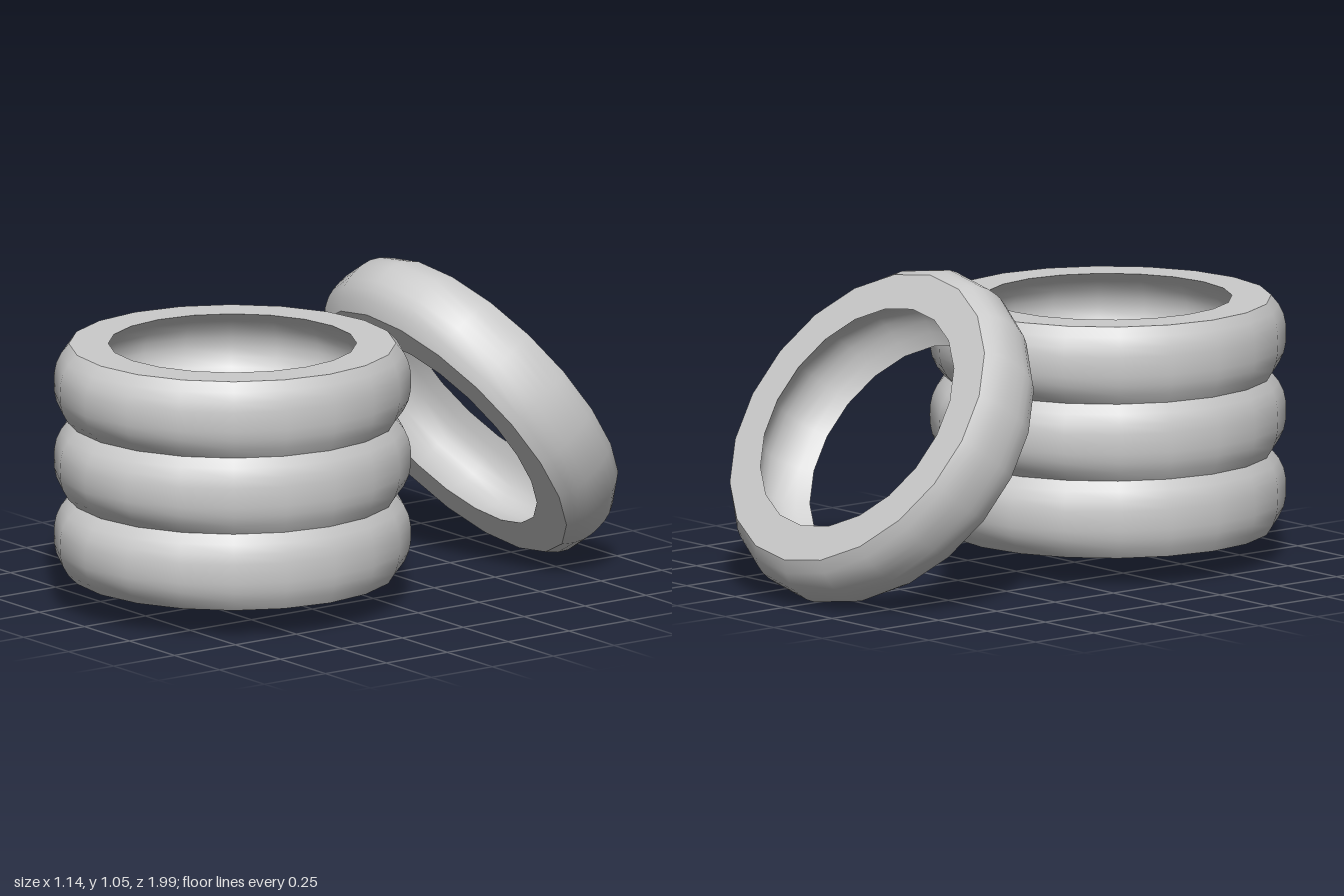
import * as THREE from 'three';
import { toCreasedNormals } from 'three/addons/utils/BufferGeometryUtils.js';

const RIM = 0.54;      // outer radius of the flat sidewall
const HOLE = 0.41;     // radius of the central opening
const HALF = 0.13;     // half the tyre's width
const STEPS = 8;

function tyreGeometry() {
  const profile = [];
  // tread, bottom to top
  for (let i = 0; i <= STEPS; i++) {
    const t = (i / STEPS) * 2 - 1;
    profile.push(new THREE.Vector2(RIM + 0.065 * (1 - Math.abs(t) ** 2.6), t * HALF));
  }
  // hollow inside, top to bottom
  for (let i = 0; i <= STEPS; i++) {
    const t = 1 - (i / STEPS) * 2;
    profile.push(new THREE.Vector2(HOLE + 0.08 * (1 - t * t), t * HALF));
  }
  profile.push(profile[0].clone());
  const geo = new THREE.LatheGeometry(profile, 20);

  // the tread bulges less towards the sides than towards front and back
  const pos = geo.attributes.position;
  for (let i = 0; i < pos.count; i++) {
    const x = pos.getX(i), z = pos.getZ(i), r = Math.hypot(x, z);
    if (r <= RIM) continue;
    const bulge = 0.5 + 0.5 * Math.abs(z / r) ** 3;
    const k = (RIM + (r - RIM) * bulge) / r;
    pos.setX(i, x * k);
    pos.setZ(i, z * k);
  }
  return toCreasedNormals(geo, 0.6);
}

export function createModel() {
  const group = new THREE.Group();
  group.name = 'tyrePile';
  const material = new THREE.MeshStandardMaterial({ color: 0xcccccc });
  const geo = tyreGeometry();

  const addTyre = (name, y, z, tilt = 0) => {
    const mesh = new THREE.Mesh(geo, material);
    mesh.name = name;
    mesh.position.set(0, y, z);
    mesh.rotation.x = tilt;
    group.add(mesh);
  };

  // stack of three
  ['bottomTyre', 'middleTyre', 'topTyre'].forEach((name, i) => addTyre(name, 0.223 + i * 0.2585, 0.393));
  // tyre leaning against the back of the stack
  addTyre('leaningTyre', 0.52, -0.578, THREE.MathUtils.degToRad(-54.7));
  return group;
}
